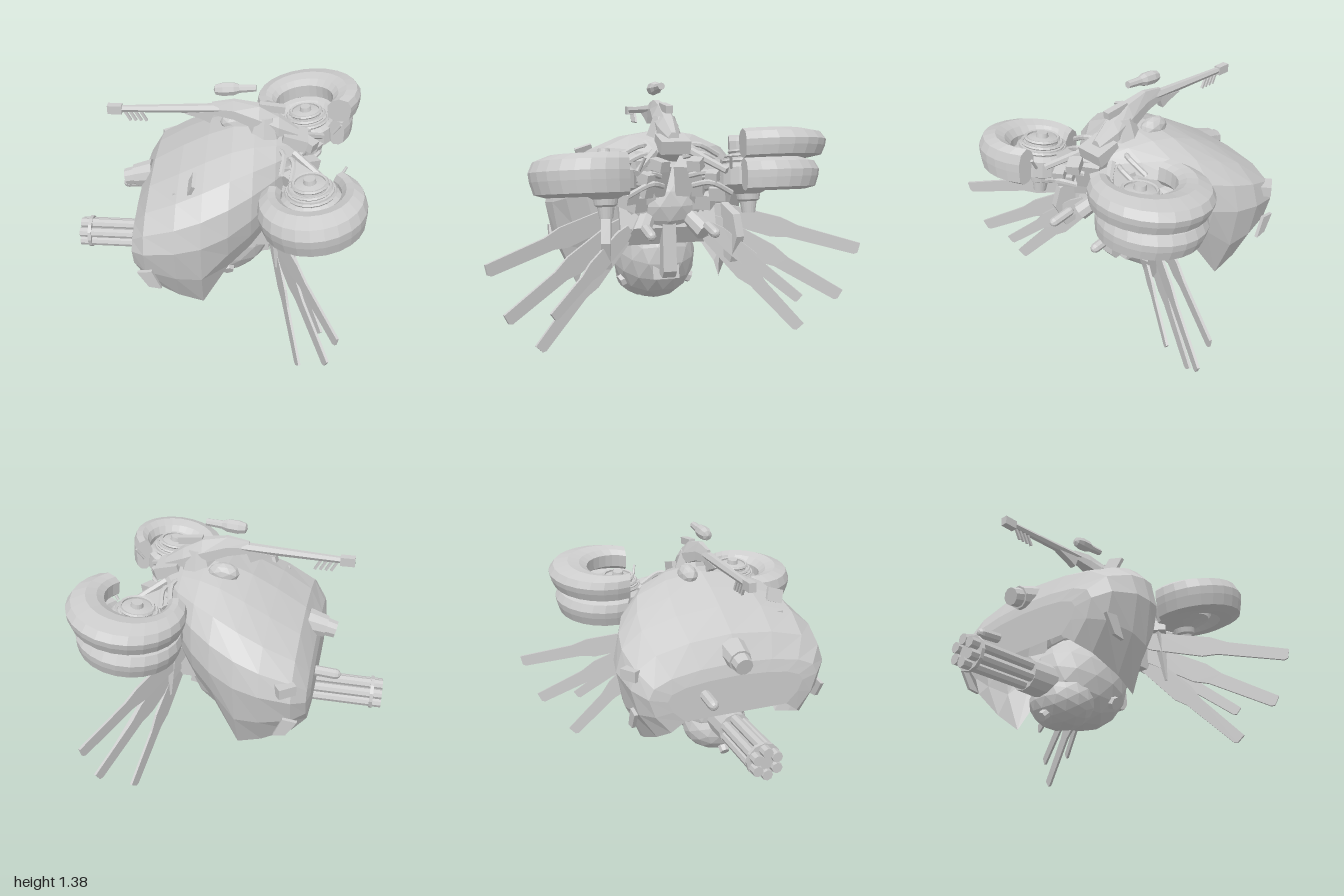
import * as THREE from 'three';

const mat = new THREE.MeshStandardMaterial({ color: 0xcccccc, flatShading: true, side: THREE.DoubleSide });
const V = (x, y, z) => new THREE.Vector3(x, y, z);

function add(parent, name, geo, pos = [0, 0, 0], rot = [0, 0, 0]) {
  const m = new THREE.Mesh(geo, mat);
  m.name = name;
  m.position.set(...pos);
  m.rotation.set(...rot);
  parent.add(m);
  return m;
}

// Skin over a list of cross-sections, optionally closed round and capped
function loft(rings, closed, caps) {
  const n = rings[0].length, pos = rings.flat(2), idx = [];
  for (let i = 0; i < rings.length - 1; i++)
    for (let j = 0; j < (closed ? n : n - 1); j++) {
      const a = i * n + j, b = i * n + (j + 1) % n;
      idx.push(a, b, a + n, b, b + n, a + n);
    }
  for (const i of caps)
    for (let j = 1; j < n - 1; j++) idx.push(i * n, i * n + j + 1, i * n + j);
  const g = new THREE.BufferGeometry();
  g.setAttribute('position', new THREE.Float32BufferAttribute(pos, 3));
  g.setIndex(idx);
  g.computeVertexNormals();
  return g;
}

// Cylinder between two points
function rod(parent, name, a, b, r0, r1 = r0, sides = 8) {
  const p = V(...a), q = V(...b), d = q.clone().sub(p);
  const m = add(parent, name, new THREE.CylinderGeometry(r1, r0, d.length(), sides));
  m.position.copy(p).add(q).multiplyScalar(0.5);
  m.quaternion.setFromUnitVectors(V(0, 1, 0), d.normalize());
}

function plate(points, depth) {
  const s = new THREE.Shape(points.map(p => new THREE.Vector2(...p)));
  return new THREE.ExtrudeGeometry(s, { depth, bevelEnabled: false }).translate(0, 0, -depth / 2);
}

function ball(parent, name, pos, scale, tilt = 0, detail = 2) {
  add(parent, name, new THREE.IcosahedronGeometry(1, detail), pos, [0, 0, tilt]).scale.set(...scale);
}

// Thin upright blade running from root to tip
function blade(parent, root, tip, w) {
  const p = V(...root), d = V(...tip).sub(p), L = d.length();
  const x = d.normalize(), z = x.clone().cross(V(0, 1, 0)).normalize(), y = z.clone().cross(x);
  const pts = [[0, -0.5], [0.1, -0.85], [0.45, -1], [0.55, -0.65], [0.98, -0.6], [1, -0.4],
    [1, 0.5], [0.6, 0.65], [0.48, 1], [0.12, 0.95], [0, 0.6]];
  const m = add(parent, 'blade', plate(pts.map(([u, v]) => [u * L, v * w]), 0.014));
  m.quaternion.setFromRotationMatrix(new THREE.Matrix4().makeBasis(x, y, z));
  m.position.copy(p);
}

// Crescent duct, open towards the hull; s is the side it faces along z
function duct(parent, s, x, y, inner, outer, h) {
  const section = [[0, -0.25], [0, 0.25], [0.2, 0.42], [0.5, 0.5], [0.88, 0.36], [1, 0.1], [0.97, -0.12], [0.88, -0.42], [0.6, -0.5], [0.25, -0.45]];
  const rings = [], N = 16;
  for (let i = 0; i <= N; i++) {
    const a = THREE.MathUtils.degToRad(-108 + 238 * i / N);
    rings.push(section.map(([u, v]) => {
      const r = inner + u * (outer - inner);
      return [x * u + r * Math.sin(a), y + v * h, s * (0.02 + u * 0.08 + r * Math.cos(a))];
    }));
  }
  add(parent, 'duct', loft(rings, true, [0, N]));
}

export function createModel() {
  const g = new THREE.Group();
  g.name = 'gunship';

  // Domed hull shell: x, top, widest height, bottom, half width
  const stations = [
    [-0.46, 0.67, 0.58, 0.45, 0.4], [-0.445, 0.74, 0.6, 0.39, 0.5], [-0.37, 0.88, 0.64, 0.34, 0.575],
    [-0.2, 0.985, 0.68, 0.26, 0.605], [-0.06, 1.06, 0.7, 0.2, 0.58], [0.08, 1.115, 0.74, 0.44, 0.52],
    [0.2, 1.125, 0.79, 0.54, 0.43], [0.32, 1.1, 0.84, 0.66, 0.29], [0.43, 1.06, 0.88, 0.77, 0.12]];
  const half = [[0.76, 0, 0], [0.93, 0.5, 0], [1, 1, 0], [0.94, 1, 0.42], [0.75, 1, 0.72], [0.42, 1, 0.91]];
  const hull = stations.map(([x, t, m, b, w]) => {
    const side = s => half.map(([u, lo, hi]) => [x, b + lo * (m - b) + hi * (t - m), s * u * w]);
    return [...side(1), [x, t, 0], ...side(-1).reverse()];
  });
  add(g, 'hullShell', loft(hull, false, [0]));

  // Belly, chin and inner core
  ball(g, 'belly', [0.01, 0.39, 0], [0.315, 0.27, 0.24], 0.3);
  ball(g, 'chin', [-0.13, 0.245, 0], [0.18, 0.155, 0.195], 0.1);
  ball(g, 'core', [0.13, 0.72, 0], [0.27, 0.23, 0.3]);
  rod(g, 'chinNozzle', [-0.22, 0.18, 0], [-0.295, 0.12, 0], 0.035, 0.028);
  add(g, 'rearHood', plate([[0.15, 0.5], [0.3, 0.5], [0.36, 0.6], [0.32, 0.72], [0.2, 0.76]], 0.54));
  add(g, 'tailSpine', plate([[0.3, 0.72], [0.36, 0.68], [0.39, 0.36], [0.36, 0.32], [0.3, 0.33], [0.31, 0.5]], 0.075));
  add(g, 'tailBlock', new THREE.BoxGeometry(0.1, 0.14, 0.15), [0.25, 0.36, 0], [0, 0, 0.2]);
  add(g, 'tailDeck', new THREE.BoxGeometry(0.14, 0.07, 0.16), [0.42, 1.06, 0], [0, 0, -0.25]);

  // Rotary gun
  const gun = new THREE.Group();
  gun.name = 'rotaryGun';
  gun.position.set(0, 0.33, 0);
  g.add(gun);
  for (let i = 0; i < 6; i++) {
    const a = i * Math.PI / 3 + Math.PI / 6, y = 0.062 * Math.sin(a), z = 0.062 * Math.cos(a);
    rod(gun, 'gunBarrel', [-0.85, y, z], [-0.4, y, z], 0.03);
  }
  rod(gun, 'gunAxle', [-0.83, 0, 0], [-0.4, 0, 0], 0.04);
  rod(gun, 'gunRing', [-0.8, 0, 0], [-0.78, 0, 0], 0.097, 0.097, 12);
  rod(gun, 'gunBase', [-0.43, 0, 0], [-0.22, 0, 0], 0.095, 0.1, 12);

  // Nose sensors
  rod(g, 'noseTurret', [-0.49, 0.765, 0], [-0.38, 0.79, 0], 0.065, 0.08, 10);
  rod(g, 'noseLens', [-0.545, 0.75, 0], [-0.48, 0.767, 0], 0.05, 0.055, 10);
  add(g, 'nosePod', new THREE.CapsuleGeometry(0.03, 0.19, 3, 8), [-0.48, 0.585, -0.19], [0, 0, Math.PI / 2 + 0.08]);

  // Roof cannon: tapered body from x, top, bottom, half width
  rod(g, 'cannonBarrel', [-0.6, 1.205, 0], [0, 1.23, 0], 0.018, 0.028, 6);
  add(g, 'cannonMuzzle', new THREE.BoxGeometry(0.08, 0.05, 0.04), [-0.58, 1.205, 0]);
  for (let i = 0; i < 4; i++)
    add(g, 'cannonTooth', new THREE.BoxGeometry(0.014, 0.065, 0.014), [-0.51 + i * 0.03, 1.165, 0], [0, 0, 0.5]);
  const body = [[-0.04, 1.265, 1.2, 0.02], [0.08, 1.285, 1.18, 0.035], [0.22, 1.26, 1.13, 0.06], [0.33, 1.2, 1.1, 0.06], [0.44, 1.12, 1.07, 0.03]];
  add(g, 'cannonBody', loft(body.map(([x, t, b, w]) =>
    [[x, t, w * 0.4], [x, (t + b) / 2, w], [x, b, w], [x, b, -w], [x, (t + b) / 2, -w], [x, t, -w * 0.4]]), true, [0, 4]));
  add(g, 'cannonGrip', plate([[-0.19, 1.2], [-0.02, 1.22], [-0.05, 1.145], [-0.1, 1.17]], 0.04));
  add(g, 'cannonRail', new THREE.BoxGeometry(0.14, 0.04, 0.04), [0.29, 1.245, 0], [0, 0, -0.1]);
  rod(g, 'cannonMount', [0.25, 1.04, 0], [0.25, 1.2, 0], 0.12, 0.06);
  ball(g, 'roofDome', [0.09, 1.1, -0.08], [0.09, 0.06, 0.055], 0, 1);
  const scope = [[0, -0.03], [0.028, -0.02], [0.038, 0.02], [0.036, 0.08], [0.024, 0.11], [0.02, 0.2], [0, 0.2]];
  add(g, 'scope', new THREE.LatheGeometry(scope.map(p => new THREE.Vector2(...p)), 8), [0, 1.345, 0], [0, 0, -Math.PI / 2 + 0.08]);

  // Lift fans; the far side carries a taller, two-tier duct
  for (const s of [1, -1]) {
    const fan = new THREE.Group();
    fan.name = s > 0 ? 'frontFan' : 'rearFan';
    fan.position.set(0.515, 0.905, s * 0.385);
    fan.rotation.z = 0.15;
    g.add(fan);
    if (s > 0) duct(fan, s, 0, 0.01, 0.16, 0.285, 0.21);
    else {
      duct(fan, s, 0.025, 0.145, 0.17, 0.315, 0.15);
      duct(fan, s, 0, -0.01, 0.16, 0.285, 0.17);
    }
    // Hub: stepped turbine, coils and exhaust cone
    const profile = [[0, -0.21], [0.035, -0.21], [0.045, -0.15], [0.06, -0.14], [0.065, -0.11], [0.12, -0.08], [0.16, -0.06],
      [0.16, 0.03], [0.13, 0.05], [0.125, 0.08], [0.09, 0.09], [0.085, 0.11], [0.035, 0.12], [0.03, 0.145], [0, 0.145]];
    add(fan, 'turbine', new THREE.LatheGeometry(profile.map(p => new THREE.Vector2(...p)), 20));
    for (let i = 0; i < 3; i++)
      add(fan, 'turbineRing', new THREE.TorusGeometry(0.13 - i * 0.02, 0.01, 5, 20), [0, 0.065 + i * 0.025, 0], [Math.PI / 2, 0, 0]);

    // Engines, struts and hoses linking fan and hull
    for (let i = 0; i < 5; i++) {
      const x = 0.3 + i * 0.055, y = 1.03 - i * 0.045;
      const hose = new THREE.CatmullRomCurve3([V(x, y, s * 0.08), V(x + 0.06, y + 0.02, s * 0.16), V(x + 0.05, y - 0.04, s * 0.28)]);
      add(g, 'hose', new THREE.TubeGeometry(hose, 8, 0.015, 6));
    }
    rod(g, 'fanStrut', [0.28, 0.82, s * 0.1], [0.5, 0.87, s * 0.3], 0.05, 0.04);
    add(g, 'fanBracket', new THREE.BoxGeometry(0.13, 0.1, 0.14), [0.44, 0.92, s * 0.21], [0, s * 0.7, 0.2]);
    add(g, 'engineBlock', new THREE.BoxGeometry(0.16, 0.17, 0.15), [0.37, 0.88, s * 0.12], [0, s * 0.5, -0.3]);
    rod(g, 'engineLink', [0.42, 1.02, s * 0.1], [0.6, 0.93, s * 0.24], 0.022, 0.018, 6);
    for (const [x, y, z, size] of [[0.51, 0.96, 0.1, 0.07], [0.44, 0.8, 0.26, 0.09], [0.36, 0.75, 0.2, 0.1], [0.55, 0.9, 0.18, 0.06]])
      add(g, 'valveBlock', new THREE.BoxGeometry(size * 1.3, size * 0.8, size), [x, y, s * z], [0, s * 0.6, -0.2]);
    rod(g, 'antenna', [0.66, 0.95, s * 0.24], [0.7, 1.02, s * 0.22], 0.008);

    // Rear thrusters
    rod(g, 'thruster', [0.3, 0.68, s * 0.1], [0.43, 0.58, s * 0.18], 0.045, 0.052);
    add(g, 'thrusterPod', new THREE.CapsuleGeometry(0.027, 0.11, 3, 8), [0.57, 0.62, s * 0.17], [0, 0, Math.PI / 2 - 0.15]);
    rod(g, 'bellyPort', [0.06, 0.27, s * 0.15], [0.07, 0.24, s * 0.215], 0.045, 0.035, 6);

    // Swept blades on a shared root fairing
    add(g, 'bladeRoot', plate([[0.26, 0.72], [0.38, 0.67], [0.42, 0.55], [0.36, 0.4], [0.3, 0.42]], 0.05), [0.06, 0, s * 0.27], [0, -s * 0.25, 0]);
    blade(g, [0.27, 0.68, s * 0.24], [0.645, 0.49, s * 0.99], 0.06);
    blade(g, [0.29, 0.63, s * 0.22], [0.62, 0.23, s * 0.9], 0.062);
    blade(g, [0.3, 0.6, s * 0.2], [0.49, 0.02, s * 0.73], 0.06);
    blade(g, [0.36, 0.6, s * 0.22], [0.6, 0.22, s * 0.67], 0.05);

    // Hull trim
    add(g, 'cheekFin', plate([[-0.41, 0.51], [-0.33, 0.52], [-0.28, 0.4], [-0.35, 0.41]], 0.02), [0, 0, s * 0.56]);
  }
  add(g, 'hullVane', new THREE.BoxGeometry(0.02, 0.08, 0.1), [-0.12, 0.98, 0.38], [0.3, 0, -0.35]);
  add(g, 'hullStud', new THREE.BoxGeometry(0.025, 0.025, 0.05), [-0.21, 0.905, 0.36]);
  add(g, 'shoulderBlock', new THREE.BoxGeometry(0.1, 0.06, 0.06), [-0.34, 0.72, -0.56], [0, 0.6, 0]);
  return g;
}
